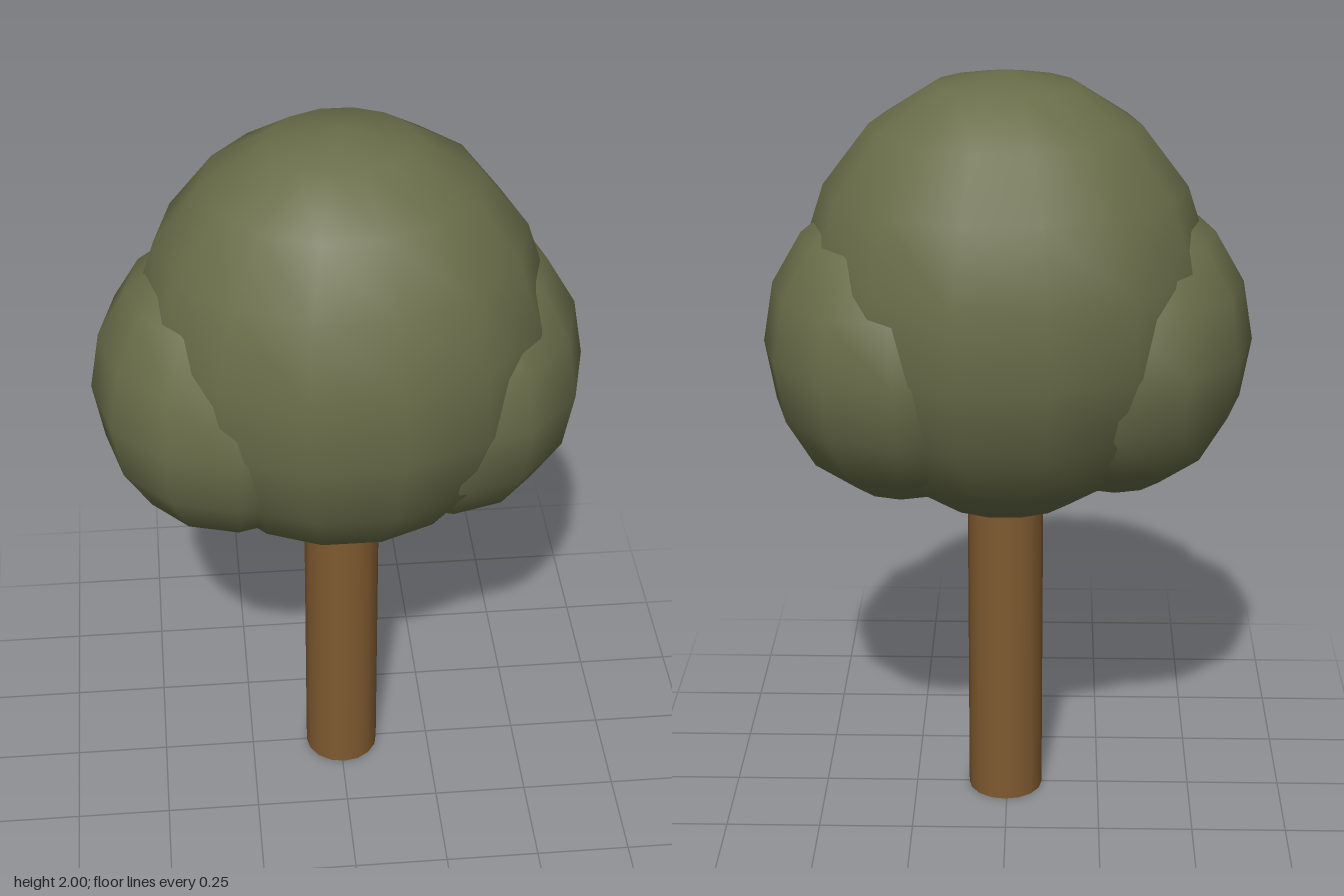
import * as THREE from 'three';

export function createModel() {
  const tree = new THREE.Group();
  tree.name = 'tree';

  const leafGreen = new THREE.MeshStandardMaterial({ name: 'leafGreen', color: 0x696d49 });
  const barkBrown = new THREE.MeshStandardMaterial({ name: 'barkBrown', color: 0x7f5a30 });

  // Trunk, running up into the crown
  const trunk = new THREE.Mesh(new THREE.CylinderGeometry(0.1, 0.1, 1.1, 16), barkBrown);
  trunk.name = 'trunk';
  trunk.position.set(0.005, 0.55, 0);
  tree.add(trunk);

  // Crown: one tall central ellipsoid with a smaller one on each side
  const addFoliage = (name, centre, radii, around, rings) => {
    const geometry = new THREE.SphereGeometry(1, around, rings);
    geometry.scale(...radii);
    const mesh = new THREE.Mesh(geometry, leafGreen);
    mesh.name = name;
    mesh.position.set(...centre);
    tree.add(mesh);
  };
  addFoliage('mainFoliage', [0.005, 1.415, 0], [0.53, 0.585, 0.467], 14, 9);
  addFoliage('leftFoliage', [0.27, 1.3, -0.025], [0.355, 0.41, 0.39], 12, 8);
  addFoliage('rightFoliage', [-0.28, 1.3, 0.015], [0.35, 0.405, 0.375], 12, 8);

  return tree;
}
